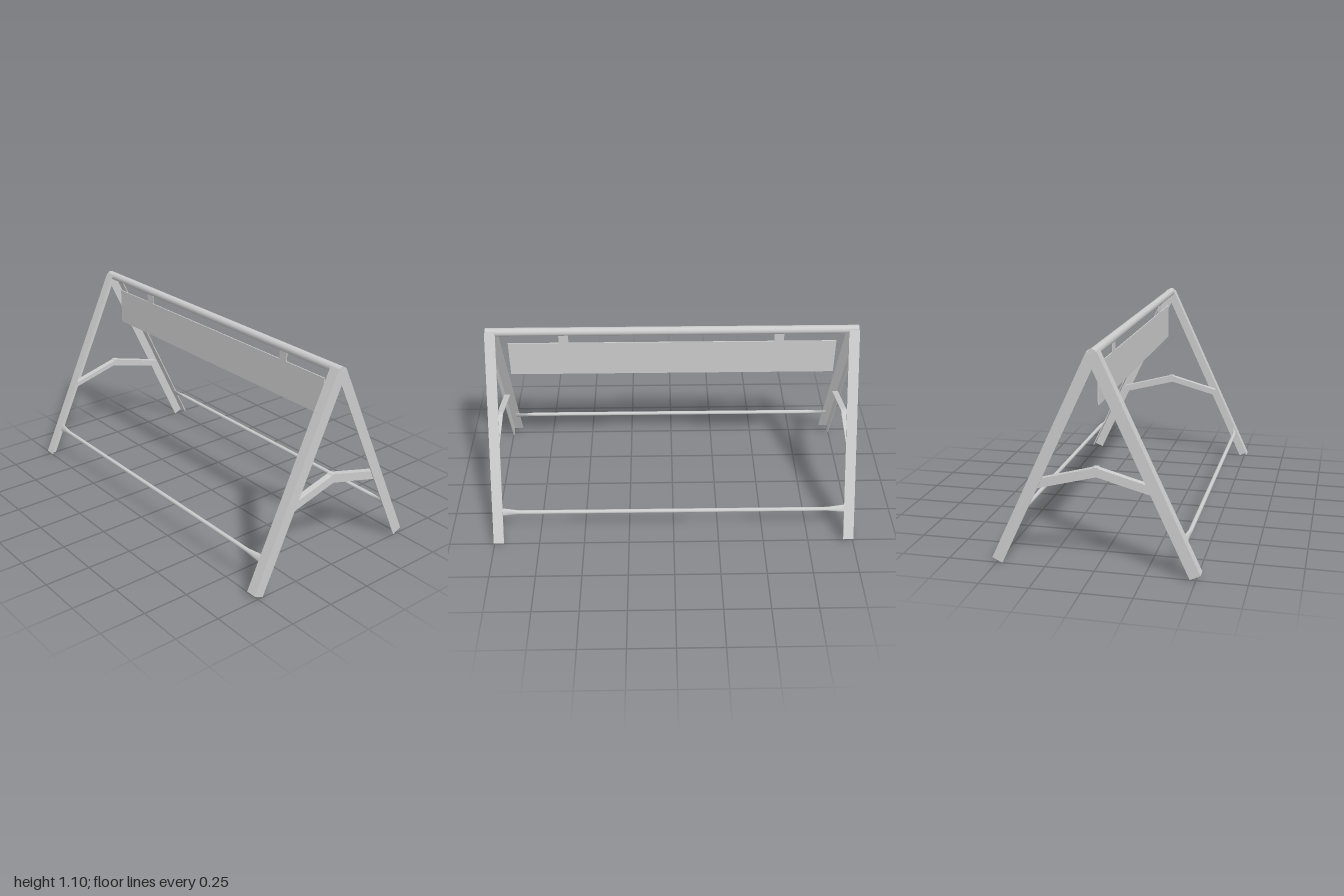
import * as THREE from 'three';

const LEG_ANGLE = Math.atan2(0.468, 1);
const T = 0.006; // sheet thickness

export function createModel() {
  const root = new THREE.Group();
  const mat = new THREE.MeshStandardMaterial({ color: 0xcccccc });

  const add = (name, geo, parent = root) => {
    const mesh = new THREE.Mesh(geo, mat);
    mesh.name = name;
    parent.add(mesh);
    return mesh;
  };

  // Outline in the xy plane, extruded between two z values
  const plate = (points, zA, zB) => {
    const shape = new THREE.Shape(points.map(([x, y]) => new THREE.Vector2(x, y)));
    const geo = new THREE.ExtrudeGeometry(shape, { depth: Math.abs(zB - zA), bevelEnabled: false });
    return geo.translate(0, 0, Math.min(zA, zB));
  };

  // A-frames at both ends: legs and brace are angle sections
  for (const s of [1, -1]) {
    const frame = new THREE.Group();
    frame.name = s > 0 ? 'frontFrame' : 'backFrame';
    root.add(frame);

    for (const m of [1, -1]) {
      const leg = new THREE.Group();
      leg.name = m > 0 ? 'leftLeg' : 'rightLeg';
      frame.add(leg);
      const flip = (pts) => pts.map(([x, y]) => [x * m, y]);
      const face = [[0.47, 0], [0.522, 0.025], [0.026, 1.088], [0, 1.077], [0, 1.005]];
      const edge = [[0.522, 0.025], [0.026, 1.088], [0.0206, 1.0855], [0.5166, 0.0225]];
      add('legFace', plate(flip(face), s, s * (1 - T)), leg);
      add('legFlange', plate(flip(edge), s * (1 - T), s * 0.943), leg);
    }

    // Bent cross brace with an inward top flange
    const top = [[0.3, 0.444], [0.008, 0.522], [0.003, 0.528], [-0.02, 0.528], [-0.026, 0.522], [-0.3, 0.447]];
    const bottom = [[-0.31, 0.4], [-0.013, 0.48], [0.31, 0.396]];
    const lower = top.map(([x, y]) => [x, y - T]).reverse();
    add('braceFace', plate([...top, ...bottom], s * (1 - T), s * (1 - 2 * T)), frame);
    add('braceFlange', plate([...top, ...lower], s * (1 - 2 * T), s * 0.96), frame);
  }

  // Ridge pipe
  const ridge = new THREE.CylinderGeometry(0.0225, 0.0225, 1.996, 20);
  add('ridgePipe', ridge.rotateX(Math.PI / 2).translate(0, 1.0775, 0));

  // Lower rails: pipes with flattened, widened ends
  const levels = [-0.965, -0.935, -0.85, 0.85, 0.935, 0.965];
  for (const m of [1, -1]) {
    const R = 0.011;
    const geo = new THREE.CylinderGeometry(R, R, 1, 16, levels.length - 1);
    geo.rotateX(Math.PI / 2);
    const p = geo.attributes.position;
    for (let i = 0; i < p.count; i++) {
      const z = levels[Math.round((p.getZ(i) + 0.5) * (levels.length - 1))];
      const flat = Math.abs(z) > 0.9;
      const x = flat ? p.getX(i) * 0.25 - m * 0.006 : p.getX(i);
      p.setXYZ(i, x, p.getY(i) * (flat ? 1.85 : 1), z);
    }
    geo.computeVertexNormals();
    const rail = add(m > 0 ? 'leftRail' : 'rightRail', geo);
    rail.rotation.z = m * LEG_ANGLE;
    rail.position.set(m * 0.445, 0.186, 0);
  }

  // Hanging panel and its two straps
  add('hangingPanel', new THREE.BoxGeometry(T, 0.2, 1.77).translate(0, 0.905, 0));
  for (const z of [0.585, -0.575]) {
    add('panelStrap', new THREE.BoxGeometry(T, 0.07, 0.052).translate(0, 1.035, z));
  }

  return root;
}
